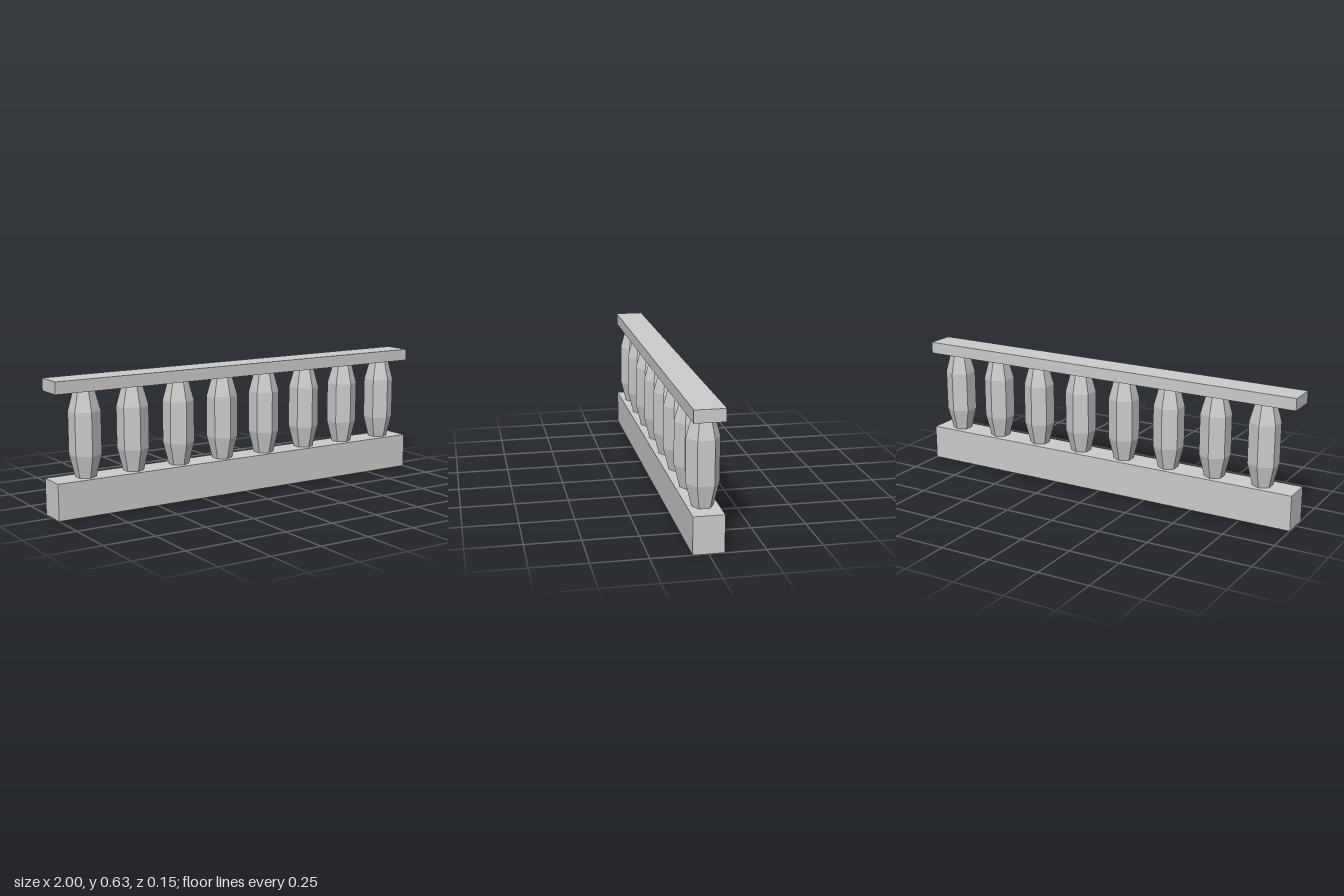
import * as THREE from 'three';

export function createModel() {
  const group = new THREE.Group();
  const material = new THREE.MeshStandardMaterial({ color: 0xcccccc, flatShading: true });

  function addBeam(name, bottom, top) {
    const beam = new THREE.Mesh(new THREE.BoxGeometry(2, top - bottom, 0.138), material);
    beam.name = name;
    beam.position.y = (bottom + top) / 2;
    group.add(beam);
  }

  // Plinth and handrail
  addBeam('base', 0, 0.17);
  addBeam('topRail', 0.57, 0.627);

  // Six-sided balusters, with corners facing front and back
  const profile = [[0.048, 0.17], [0.0745, 0.275], [0.0745, 0.474], [0.048, 0.57]]
    .map(([r, y]) => new THREE.Vector2(r, y));
  const balusterGeometry = new THREE.LatheGeometry(profile, 6);

  // The row sits slightly off centre towards +x
  const count = 8, firstX = -0.831, spacing = 0.2435;
  const balusters = new THREE.Group();
  balusters.name = 'balusters';
  for (let i = 0; i < count; i++) {
    const baluster = new THREE.Mesh(balusterGeometry, material);
    baluster.name = `baluster${i + 1}`;
    baluster.position.x = firstX + i * spacing;
    balusters.add(baluster);
  }
  group.add(balusters);

  return group;
}
